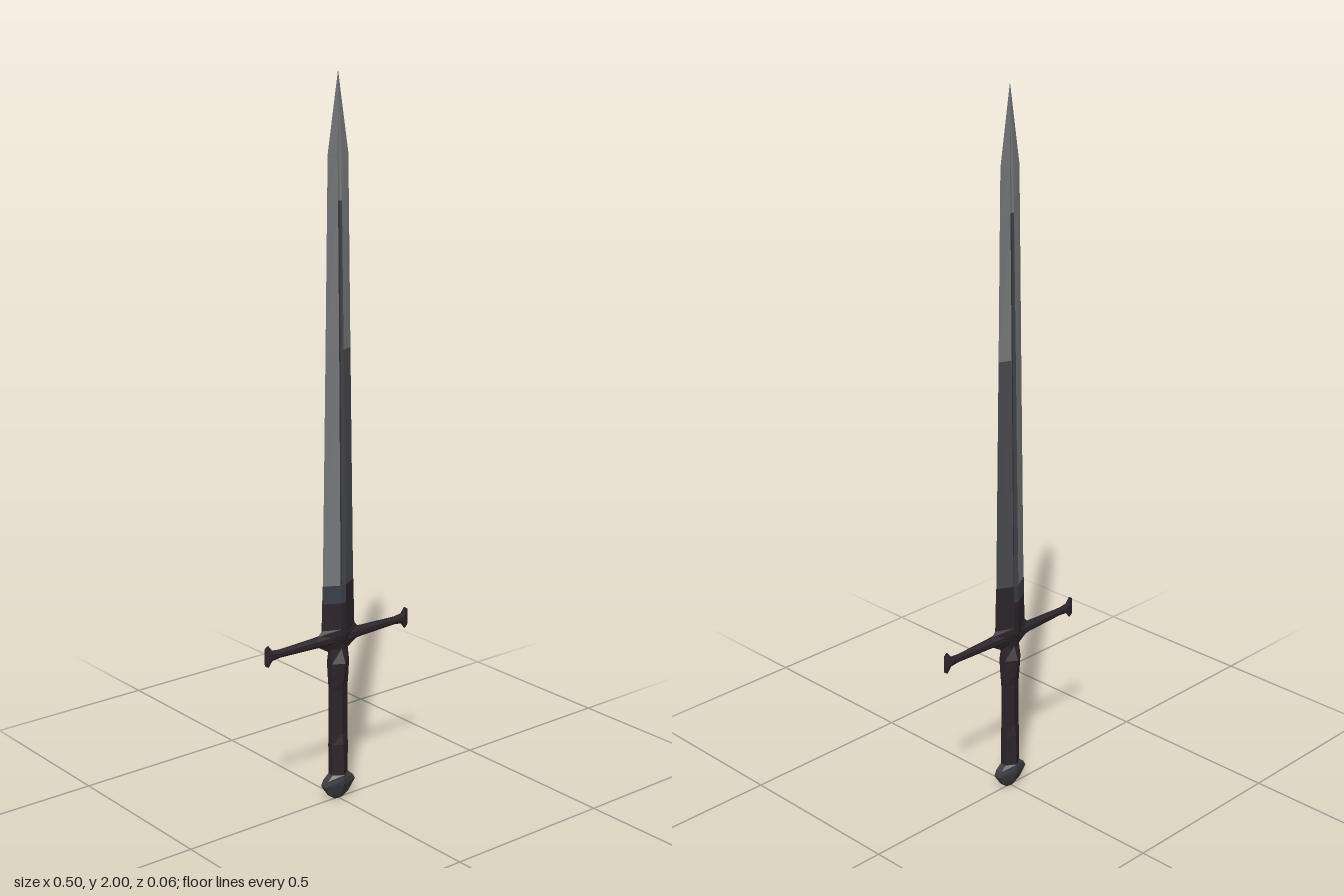
import * as THREE from 'three';

const mat = (name, color) => {
  const m = new THREE.MeshStandardMaterial({ color, flatShading: true });
  m.name = name;
  return m;
};

// Cross-section outlines as [x, z] fractions, running from +x towards +z
const BLADE = [[1, 0], [0.18, 1], [0, 0.7], [-0.18, 1], [-1, 0], [-0.18, -1], [0, -0.7], [0.18, -1]];
const HILT = [[1, 0.35], [0, 1], [-1, 0.35], [-1, -0.35], [0, -1], [1, -0.35]];
const DIAMOND = [[1, 0], [0.15, 0.95], [-0.15, 0.95], [-1, 0], [-0.15, -0.95], [0.15, -0.95]];
const BAR = [[1, 0.3], [0.4, 1], [-0.4, 1], [-1, 0.3], [-1, -0.3], [-0.4, -1], [0.4, -1], [1, -0.3]];

// Skins [y, halfX, halfZ] sections; "sides" picks which faces of the outline to build
function loft(outline, sections, sides = outline.map((_, i) => i)) {
  const pos = [];
  const point = ([y, w, d], i) => {
    const [x, z] = outline[i % outline.length];
    return [x * w, y, z * d];
  };
  for (let s = 0; s < sections.length - 1; s++) {
    for (const i of sides) {
      const a = point(sections[s], i), b = point(sections[s], i + 1);
      const c = point(sections[s + 1], i), d = point(sections[s + 1], i + 1);
      pos.push(...a, ...c, ...b, ...b, ...c, ...d);
    }
  }
  const g = new THREE.BufferGeometry();
  g.setAttribute('position', new THREE.Float32BufferAttribute(pos, 3));
  g.computeVertexNormals();
  return g;
}

export function createModel() {
  const steel = mat('steel', 0x75777a);
  const darkSteel = mat('dark steel', 0x48494e);
  const fullerGrey = mat('fuller grey', 0x3c3e43);
  const slate = mat('slate', 0x3a3e47);
  const hiltBrown = mat('hilt brown', 0x2c242a);
  const pommelGrey = mat('pommel grey', 0x3d3c41);

  const sword = new THREE.Group();
  sword.name = 'sword';
  const add = (name, geometry, material) => {
    const mesh = new THREE.Mesh(geometry, material);
    mesh.name = name;
    sword.add(mesh);
    return mesh;
  };

  // Blade: bevels on each edge and a shallow central fuller
  const root = [0.62, 0.053, 0.023];
  const middle = [1.28, 0.042, 0.014];
  const fullerEnd = [1.67, 0.036, 0.008];
  const shoulder = [1.79, 0.034, 0.006];
  const tip = [2, 0, 0];
  const rightBevels = [0, 7], leftBevels = [3, 4], fuller = [1, 2, 5, 6];
  add('leftEdgeLower', loft(BLADE, [root, middle], rightBevels), darkSteel);
  add('leftEdgeUpper', loft(BLADE, [middle, fullerEnd, shoulder, tip], rightBevels), steel);
  add('rightEdge', loft(BLADE, [root, middle, fullerEnd, shoulder, tip], leftBevels), steel);
  add('fuller', loft(BLADE, [root, middle, fullerEnd], fuller), fullerGrey);
  add('bladePoint', loft(BLADE, [fullerEnd, shoulder, tip], fuller), steel);

  // Collar round the root of the blade, with a slate rim on one half
  const collarTop = [0.635, 0.054, 0.025], collarMid = [0.585, 0.055, 0.026];
  add('collar', loft(DIAMOND, [[0.49, 0.058, 0.027], collarMid]), hiltBrown);
  add('collarRimLeft', loft(DIAMOND, [collarMid, collarTop, [0.635, 0, 0]], [0, 5]), hiltBrown);
  add('collarRimRight', loft(DIAMOND, [collarMid, collarTop, [0.635, 0, 0]], [1, 2, 3, 4]), slate);

  // Guard centre
  add('guardCentre', loft(DIAMOND, [
    [0.442, 0, 0], [0.442, 0.032, 0.016], [0.462, 0.065, 0.017],
    [0.495, 0.07, 0.026], [0.51, 0.056, 0.027],
  ]), hiltBrown);

  // Guard arms with flared, wedge-shaped ends
  const arm = [
    [0.02, 0.021, 0.016], [0.075, 0.015, 0.012], [0.2, 0.011, 0.007],
    [0.226, 0.014, 0.007], [0.239, 0.031, 0.005], [0.25, 0.024, 0.0008], [0.25, 0, 0],
  ];
  for (const side of [1, -1]) {
    const geometry = loft(BAR, arm).rotateZ(-side * Math.PI / 2);
    add(side > 0 ? 'leftGuardArm' : 'rightGuardArm', geometry, hiltBrown).position.y = 0.48;
  }

  // Grip, swelling in depth at both ends
  add('grip', loft(HILT, [
    [0.075, 0.027, 0.027], [0.17, 0.028, 0.024], [0.2, 0.028, 0.018], [0.33, 0.028, 0.018],
    [0.365, 0.029, 0.025], [0.41, 0.03, 0.032], [0.45, 0.029, 0.016],
  ]), hiltBrown);

  // Pommel
  add('pommel', loft(HILT, [
    [0.004, 0, 0], [0.004, 0.014, 0.005], [0.018, 0.033, 0.014], [0.05, 0.053, 0.027],
    [0.066, 0.044, 0.029], [0.08, 0.027, 0.028], [0.08, 0, 0],
  ]), pommelGrey);

  return sword;
}
